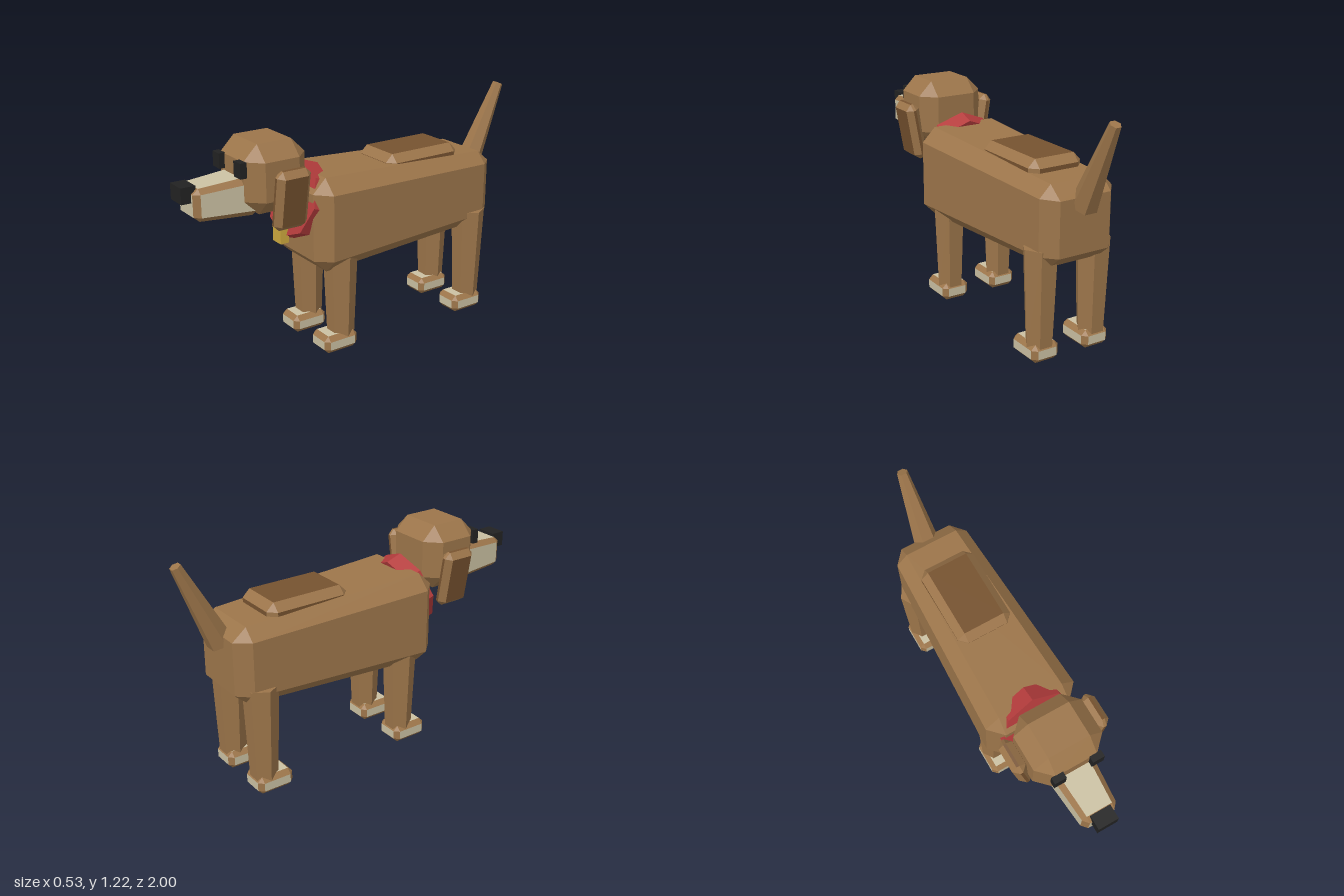
import * as THREE from 'three';

const mat = (color) => new THREE.MeshStandardMaterial({ color, flatShading: true });
const brown = mat(0x9c754a), dark = mat(0x76522f), cream = mat(0xcac0a2);
const red = mat(0xb43c3c), gold = mat(0xcda83e), black = mat(0x222222);

// Box with cut edges: the six large faces form group 0, the bevels group 1.
// Width and height scale linearly from backScale (-z) to frontScale (+z).
function bevelBox(w, h, d, c, backScale = 1, frontScale = 1) {
  const half = [w / 2, h / 2, d / 2];
  const positions = [];
  // Vertex of the corner with the given signs that lies on the face across axis k
  const vertex = (signs, k) => {
    const p = signs.map((s, i) => s * (half[i] - (i === k ? 0 : c)));
    const s = THREE.MathUtils.lerp(backScale, frontScale, p[2] / d + 0.5);
    return new THREE.Vector3(p[0] * s, p[1] * s, p[2]);
  };
  // Emit a convex face, turned so that it looks outwards
  const addFace = (pts) => {
    const normal = pts[1].clone().sub(pts[0]).cross(pts[2].clone().sub(pts[0]));
    const middle = pts.reduce((sum, p) => sum.add(p), new THREE.Vector3());
    if (normal.dot(middle) < 0) pts.reverse();
    for (let i = 1; i < pts.length - 1; i++) {
      for (const p of [pts[0], pts[i], pts[i + 1]]) positions.push(p.x, p.y, p.z);
    }
  };
  const signsOf = (a, sa, b, sb, k, sk) => {
    const s = [0, 0, 0];
    s[a] = sa; s[b] = sb; s[k] = sk;
    return s;
  };
  const ends = [-1, 1];

  for (let k = 0; k < 3; k++) {
    const a = (k + 1) % 3, b = (k + 2) % 3;
    for (const s of ends) {
      addFace([[-1, -1], [1, -1], [1, 1], [-1, 1]].map(([u, v]) => vertex(signsOf(a, u, b, v, k, s), k)));
    }
  }
  const mainCount = positions.length / 3;
  for (let k = 0; k < 3; k++) {
    const a = (k + 1) % 3, b = (k + 2) % 3;
    for (const u of ends) for (const v of ends) {
      const lo = signsOf(a, u, b, v, k, -1), hi = signsOf(a, u, b, v, k, 1);
      addFace([vertex(lo, a), vertex(hi, a), vertex(hi, b), vertex(lo, b)]);
    }
  }
  for (const x of ends) for (const y of ends) for (const z of ends) {
    addFace([0, 1, 2].map((k) => vertex([x, y, z], k)));
  }

  const geometry = new THREE.BufferGeometry();
  geometry.setAttribute('position', new THREE.Float32BufferAttribute(positions, 3));
  geometry.addGroup(0, mainCount, 0);
  geometry.addGroup(mainCount, positions.length / 3 - mainCount, 1);
  geometry.computeVertexNormals();
  return geometry;
}

export function createModel() {
  const model = new THREE.Group();
  model.name = 'dog';

  const add = (name, geometry, material, x, y, z) => {
    const mesh = new THREE.Mesh(geometry, material);
    mesh.name = name;
    mesh.position.set(x, y, z);
    model.add(mesh);
    return mesh;
  };

  // Body, narrower at the rump, with a dark patch on the back
  add('body', bevelBox(0.506, 0.497, 1.16, 0.075, 0.8, 1), [brown, brown], 0, 0.69, -0.21);
  add('saddlePatch', bevelBox(0.3, 0.11, 0.46, 0.04), [dark, brown], 0, 0.905, -0.35);

  // Head, snout and nose
  add('head', bevelBox(0.37, 0.345, 0.335, 0.075), [brown, brown], 0, 0.9725, 0.5375);
  add('snout', bevelBox(0.23, 0.2, 0.33, 0.03, 1, 0.78), [cream, brown], 0, 0.892, 0.785);
  add('nose', new THREE.BoxGeometry(0.108, 0.08, 0.075), black, 0, 0.945, 0.9625);

  // Collar, a tilted eight-sided disc, and its tag
  const collar = add('collar', new THREE.CylinderGeometry(0.2, 0.2, 0.09, 8), red, 0, 0.785, 0.335);
  collar.rotation.x = Math.PI / 2 - 0.34;
  add('collarTag', new THREE.BoxGeometry(0.074, 0.09, 0.048), gold, 0, 0.63, 0.448);

  // Tail, leaning back
  const tail = add('tail', new THREE.CylinderGeometry(0.028, 0.068, 0.47, 6, 1, false, Math.PI / 6),
    brown, 0, 0.993, -0.876);
  tail.rotation.x = -0.443;

  // Paired parts
  const legGeometry = new THREE.CylinderGeometry(0.09, 0.07, 0.51, 6, 1, false, Math.PI / 6);
  const pawGeometry = bevelBox(0.155, 0.095, 0.2, 0.025);
  const earGeometry = bevelBox(0.075, 0.31, 0.185, 0.03);
  const eyeGeometry = new THREE.BoxGeometry(0.063, 0.076, 0.035);

  for (const [side, s] of [['left', 1], ['right', -1]]) {
    add(side + 'Eye', eyeGeometry, black, s * 0.102, 1.036, 0.717);
    const ear = add(side + 'Ear', earGeometry, [dark, brown], s * 0.206, 0.88, 0.508);
    ear.rotation.z = -s * 0.17;

    for (const [end, z] of [['Front', 0.195], ['Back', -0.655]]) {
      add(side + end + 'Leg', legGeometry, brown, s * 0.153, 0.32, z);
      add(side + end + 'Paw', pawGeometry, [cream, brown], s * 0.148, 0.0475, z + 0.034);
    }
  }
  return model;
}
